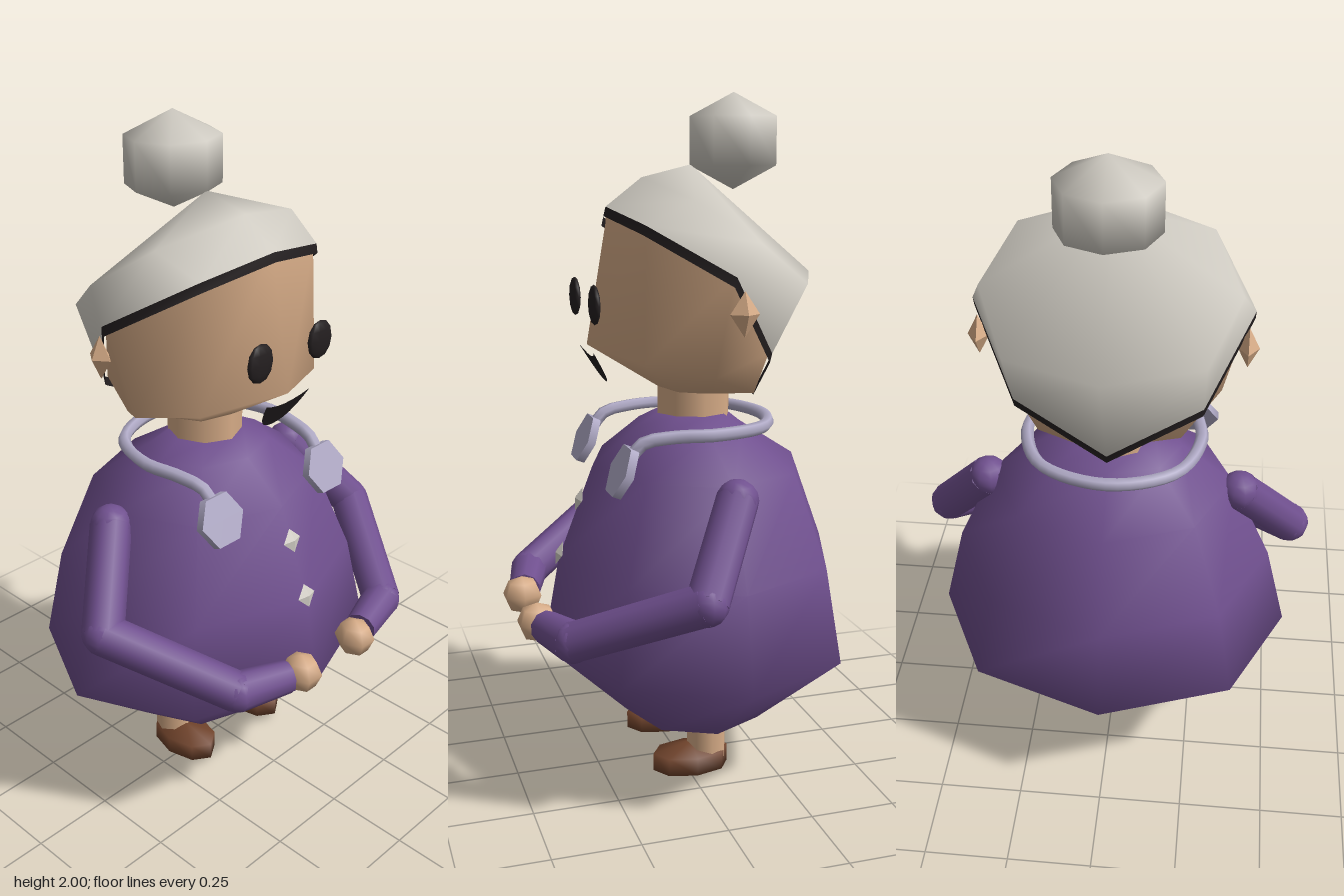
import * as THREE from 'three';
import { mergeVertices } from 'three/addons/utils/BufferGeometryUtils.js';

const V = (x, y, z) => new THREE.Vector3(x, y, z);

function material(name, color, side = THREE.FrontSide) {
  const m = new THREE.MeshStandardMaterial({ color, side });
  m.name = name;
  return m;
}

// Smooth skin over closed rings of points, listed bottom to top
function loft(rings) {
  const n = rings[0].length, pos = [], idx = [];
  rings.forEach(r => r.forEach(p => pos.push(p.x, p.y, p.z)));
  for (let j = 0; j < rings.length - 1; j++) {
    for (let i = 0; i < n; i++) {
      const a = j * n + i, b = j * n + (i + 1) % n;
      idx.push(a, b, b + n, a, b + n, a + n);
    }
  }
  let g = new THREE.BufferGeometry();
  g.setAttribute('position', new THREE.Float32BufferAttribute(pos, 3));
  g.setIndex(idx);
  g = mergeVertices(g);
  g.computeVertexNormals();
  return g;
}

// Five points from front to back along the left side, mirrored to eight
function mirrored(half) {
  const left = half.map(p => V(...p));
  const right = left.slice(1, 4).reverse().map(p => V(-p.x, p.y, p.z));
  return [...left, ...right];
}

function oval(y, rx, zFront, zBack) {
  const c = (zFront + zBack) / 2, rz = (zFront - zBack) / 2;
  return Array.from({ length: 8 }, (_, i) => {
    const a = i * Math.PI / 4;
    return V(rx * Math.sin(a), y, c + rz * Math.cos(a));
  });
}

const point = (x, y, z) => Array.from({ length: 8 }, () => V(x, y, z));

export function createModel() {
  const model = new THREE.Group();
  const purple = material('purple cloth', 0x70508f);
  const skin = material('skin', 0xd8ad88);
  const grey = material('grey hair', 0xcfcbc2);
  const dark = material('dark', 0x241f20, THREE.DoubleSide);
  const brown = material('brown leather', 0x70432b);
  const lavender = material('lavender scarf', 0xb0aac6);

  function add(name, geo, mat, x = 0, y = 0, z = 0, parent = model) {
    const mesh = new THREE.Mesh(geo, mat);
    mesh.name = name;
    mesh.position.set(x, y, z);
    parent.add(mesh);
    return mesh;
  }

  // Dress
  const hem = oval(0.165, 0.25, 0.16, -0.265);
  add('dress', loft([
    hem,
    oval(0.4, 0.54, 0.41, -0.515),
    oval(0.67, 0.475, 0.36, -0.47),
    oval(0.94, 0.355, 0.255, -0.37),
    oval(1.05, 0.2, 0.12, -0.2),
    oval(1.09, 0.12, 0.05, -0.15),
    point(0, 1.09, -0.05),
  ]), purple);
  add('dressBase', loft([point(0, 0.165, -0.05), hem]), purple);
  for (const [y, z] of [[0.845, 0.296], [0.685, 0.358]]) {
    const button = add('button', new THREE.OctahedronGeometry(1).scale(0.035, 0.036, 0.012), grey, 0, y, z);
    button.rotation.x = -0.33;
  }

  // Neck and face
  add('neck', new THREE.CylinderGeometry(0.11, 0.11, 0.13, 8), skin, 0, 1.125, -0.055);
  const rim = mirrored([
    [0, 1.685, 0.205], [0.23, 1.645, 0.155], [0.385, 1.515, -0.05], [0.26, 1.29, -0.2], [0, 1.15, -0.25],
  ]);
  const jaw = mirrored([
    [0, 1.3, 0.265], [0.235, 1.27, 0.16], [0.305, 1.235, -0.02], [0.2, 1.17, -0.17], [0, 1.145, -0.2],
  ]);
  const chin = mirrored([
    [0, 1.165, 0.05], [0.09, 1.163, 0.02], [0.12, 1.16, -0.05], [0.09, 1.155, -0.12], [0, 1.15, -0.15],
  ]);
  const scalp = rim.map(p => V(p.x * 0.965, p.y, p.z * 0.965));
  add('head', loft([point(0, 1.16, -0.05), chin, jaw, scalp]), skin);

  // Hair, its dark edge, and the bun
  const crown = mirrored([
    [0, 1.765, 0.1], [0.265, 1.71, 0.03], [0.35, 1.6, -0.13], [0.265, 1.48, -0.3], [0, 1.49, -0.415],
  ]);
  add('hair', loft([rim, crown, point(0, 1.8, -0.045)]), grey);
  add('hairEdge', loft([rim.map(p => V(p.x * 0.995, p.y - 0.026, p.z + 0.006)), rim]), dark);
  add('bun', new THREE.SphereGeometry(1, 8, 3).scale(0.162, 0.135, 0.152), grey, 0, 1.865, -0.173);

  // Mouth, a thin plate leaning back towards the chin
  const smile = new THREE.Shape();
  smile.moveTo(-0.088, 1.288);
  smile.quadraticCurveTo(0, 1.245, 0.088, 1.288);
  smile.quadraticCurveTo(0.07, 1.19, 0, 1.19);
  smile.quadraticCurveTo(-0.07, 1.19, -0.088, 1.288);
  const mouth = new THREE.ShapeGeometry(smile, 6);
  const mp = mouth.attributes.position;
  for (let i = 0; i < mp.count; i++) mp.setZ(i, 0.268 - (1.29 - mp.getY(i)) * 0.58);
  mouth.computeVertexNormals();
  add('mouth', mouth, dark);

  // Scarf around the neck
  const half = [[0.22, 1.0, 0.205], [0.225, 1.05, 0.165], [0.24, 1.066, 0.08], [0.255, 1.068, -0.04], [0.19, 1.068, -0.2]];
  const path = new THREE.CatmullRomCurve3([
    ...half.map(p => V(...p)), V(0, 1.068, -0.27),
    ...half.slice().reverse().map(([x, y, z]) => V(-x, y, z)),
  ]);
  add('scarf', new THREE.TubeGeometry(path, 40, 0.019, 6), lavender);

  // Paired parts
  const arm = [[0.375, 0.91, -0.06], [0.54, 0.685, 0.08], [0.325, 0.535, 0.39], [0.165, 0.525, 0.435]];
  const radii = [0.06, 0.06, 0.058, 0.048];
  for (const s of [1, -1]) {
    const side = s > 0 ? 'left' : 'right';

    add(side + 'Ear', new THREE.OctahedronGeometry(1).scale(0.03, 0.062, 0.042), skin, s * 0.37, 1.416, -0.078);
    add(side + 'Eye', new THREE.SphereGeometry(1, 10, 6).scale(0.05, 0.056, 0.014), dark, s * 0.12, 1.425, 0.27);

    const end = add(side + 'ScarfEnd', new THREE.CylinderGeometry(0.08, 0.08, 0.025, 6)
      .rotateY(Math.PI / 6).rotateX(Math.PI / 2), lavender, s * 0.22, 0.975, 0.222);
    end.rotation.x = -0.4;

    // Sleeve: tapered tubes with round joints
    const sleeve = new THREE.Group();
    sleeve.name = side + 'Arm';
    model.add(sleeve);
    const pts = arm.map(([x, y, z]) => V(s * x, y, z));
    pts.forEach((p, i) => {
      if (i < 3) add('joint', new THREE.SphereGeometry(radii[i], 10, 8), purple, p.x, p.y, p.z, sleeve);
      if (i === 0) return;
      const dir = p.clone().sub(pts[i - 1]);
      const mid = p.clone().add(pts[i - 1]).multiplyScalar(0.5);
      const seg = add('sleeve', new THREE.CylinderGeometry(radii[i], radii[i - 1], dir.length(), 10),
        purple, mid.x, mid.y, mid.z, sleeve);
      seg.quaternion.setFromUnitVectors(V(0, 1, 0), dir.normalize());
    });
    add(side + 'Hand', new THREE.SphereGeometry(1, 6, 4).scale(0.055, 0.058, 0.062), skin, s * 0.12, 0.525, 0.45);

    add(side + 'Leg', new THREE.CylinderGeometry(0.06, 0.06, 0.12, 8), skin, s * 0.148, 0.12, -0.05);
    add(side + 'Shoe', new THREE.SphereGeometry(1, 8, 3).scale(0.083, 0.053, 0.134), brown, s * 0.152, 0.053, 0);
  }

  return model;
}
